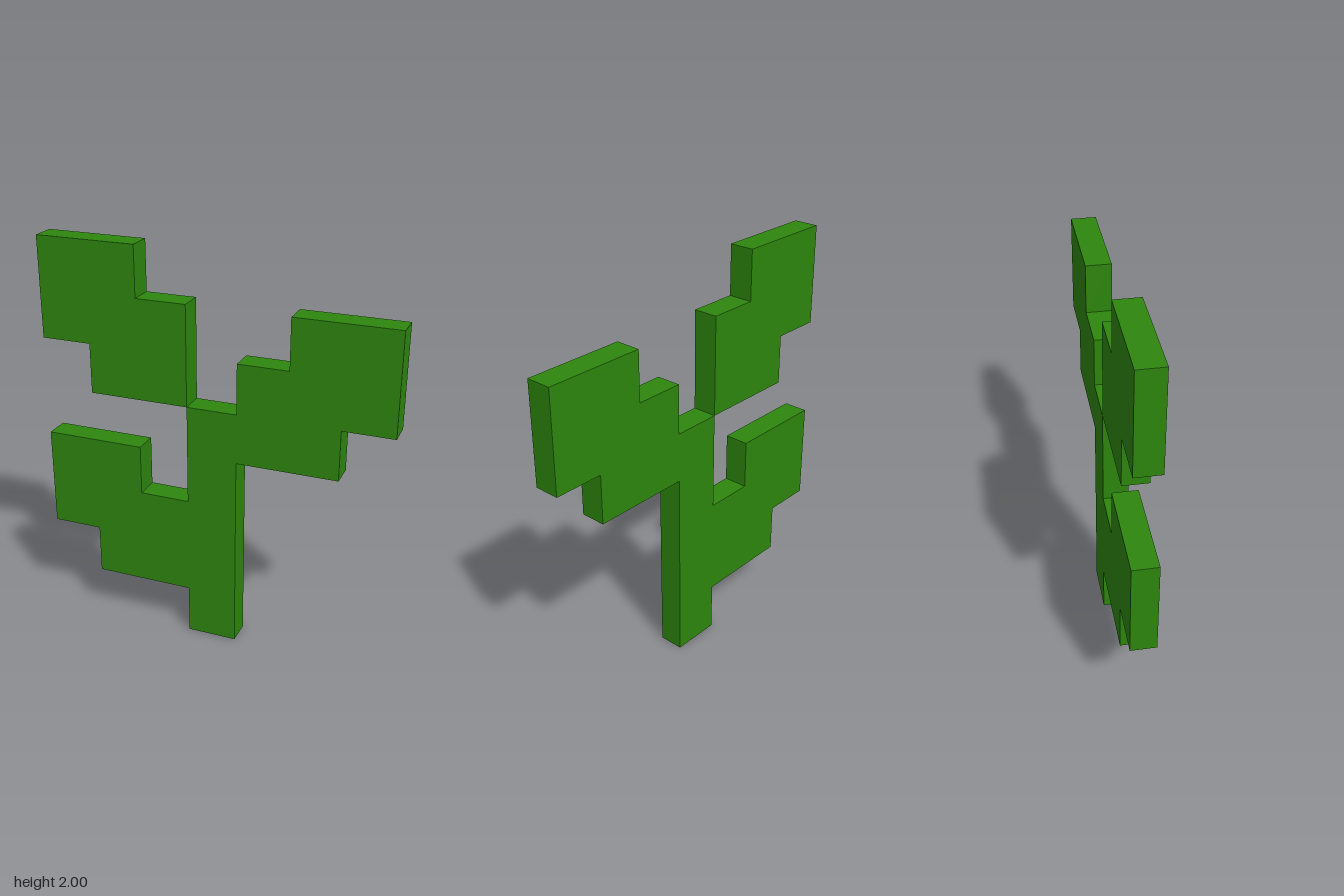
import * as THREE from 'three';

const UNIT = 0.25; // one step of the blocky outline
const DEPTH = 0.125;

export function createModel() {
  const plant = new THREE.Group();
  plant.name = 'sprout';
  const green = new THREE.MeshStandardMaterial({ color: 0x2e860e });
  green.name = 'leaf green';

  // Stem
  const stem = new THREE.Mesh(new THREE.BoxGeometry(UNIT, 5 * UNIT, DEPTH), green);
  stem.name = 'stem';
  stem.position.y = 2.5 * UNIT;
  plant.add(stem);

  // Stepped leaf outline, growing outwards from the side of the stem
  const outline = [[0, 0], [2, 0], [2, 1], [3, 1], [3, 3], [1, 3], [1, 2], [0, 2]];

  function addLeaf(name, side, y) {
    const points = outline.map(([u, v]) => new THREE.Vector2(side * (u + 0.5) * UNIT, v * UNIT));
    const geometry = new THREE.ExtrudeGeometry(new THREE.Shape(points), { depth: DEPTH, bevelEnabled: false });
    geometry.translate(0, 0, -DEPTH / 2);
    const leaf = new THREE.Mesh(geometry, green);
    leaf.name = name;
    leaf.position.y = y;
    plant.add(leaf);
  }

  addLeaf('lowerRightLeaf', -1, UNIT);
  addLeaf('leftLeaf', 1, 4 * UNIT);
  addLeaf('upperRightLeaf', -1, 5 * UNIT);

  return plant;
}
